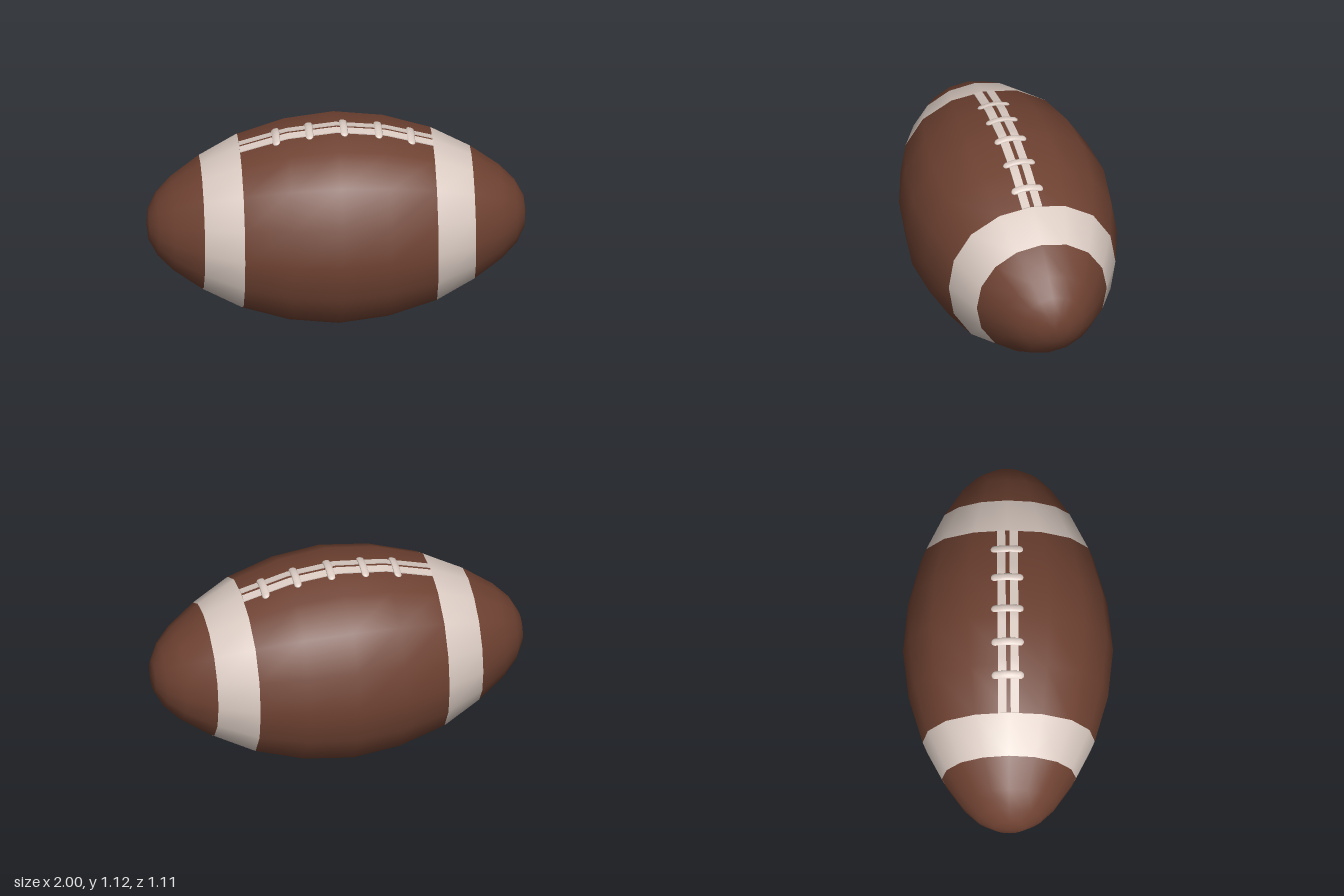
import * as THREE from 'three';

const CY = 0.555; // height of the long axis
const SIDES = 16;
// half profile: [x, radius, squareness at the diagonals]
const HALF = [[0, 0.553, 0.035], [0.26, 0.525, 0.035], [0.51, 0.453, 0.035], [0.715, 0.353, 0.015],
  [0.865, 0.25, 0.01], [0.945, 0.17, 0], [0.99, 0.085, 0], [1, 0, 0]];
const RINGS = [...HALF.slice(1).reverse().map(([x, r, s]) => [-x, r, s]), ...HALF];

const brown = new THREE.MeshStandardMaterial({ color: 0x6f4232, roughness: 0.8 });
const white = new THREE.MeshStandardMaterial({ color: 0xdccdc4, roughness: 0.8 });

// Shared vertices and smooth normals of the whole ball
function ballSurface() {
  const pos = [], index = [];
  for (const [x, r, s] of RINGS) {
    for (let j = 0; j < SIDES; j++) {
      const a = (j / SIDES) * Math.PI * 2;
      const k = r * (1 + s * Math.sin(2 * a) ** 2);
      pos.push(x, CY + k * Math.cos(a), k * Math.sin(a));
    }
  }
  for (let i = 0; i < RINGS.length - 1; i++) index.push(...bandIndex(i, i + 1));
  const g = new THREE.BufferGeometry();
  g.setAttribute('position', new THREE.Float32BufferAttribute(pos, 3));
  g.setIndex(index);
  g.computeVertexNormals();
  // the tips point straight along the axis
  for (let j = 0; j < SIDES; j++) {
    g.attributes.normal.setXYZ(j, -1, 0, 0);
    g.attributes.normal.setXYZ((RINGS.length - 1) * SIDES + j, 1, 0, 0);
  }
  return g;
}

// Triangles between two rings
function bandIndex(from, to) {
  const out = [];
  for (let i = from; i < to; i++) {
    for (let j = 0; j < SIDES; j++) {
      const a = i * SIDES + j, b = i * SIDES + (j + 1) % SIDES;
      const c = a + SIDES, d = b + SIDES;
      if (RINGS[i][1] > 0) out.push(a, b, c);
      if (RINGS[i + 1][1] > 0) out.push(b, d, c);
    }
  }
  return out;
}

// Height of the ridge along the top of the ball
function ridge(x) {
  const ax = Math.abs(x);
  const i = HALF.findIndex((p) => p[0] >= ax);
  if (i <= 0) return CY + HALF[0][1];
  const [x0, r0] = HALF[i - 1], [x1, r1] = HALF[i];
  return CY + r0 + ((r1 - r0) * (ax - x0)) / (x1 - x0);
}

// Lays a flat geometry over the ridge
function drape(g, drop) {
  const p = g.attributes.position;
  for (let i = 0; i < p.count; i++) {
    p.setY(i, p.getY(i) + ridge(p.getX(i)) - drop(Math.abs(p.getZ(i))));
  }
  g.computeVertexNormals();
  return g;
}

export function createModel() {
  const model = new THREE.Group();
  model.name = 'football';
  const add = (name, geometry, material) => {
    const mesh = new THREE.Mesh(geometry, material);
    mesh.name = name;
    model.add(mesh);
  };

  // Leather sections and painted stripes, cut from one smooth surface
  const surface = ballSurface();
  const sections = [['rightTip', 0, 4, brown], ['rightStripe', 4, 5, white], ['body', 5, 9, brown],
    ['leftStripe', 9, 10, white], ['leftTip', 10, 14, brown]];
  for (const [name, from, to, material] of sections) {
    // ring 4 is x = -0.715, ring 5 is x = -0.51
    const g = new THREE.BufferGeometry();
    g.setAttribute('position', surface.attributes.position);
    g.setAttribute('normal', surface.attributes.normal);
    g.setIndex(bandIndex(from, to));
    add(name, g, material);
  }

  // Two long lace strips
  for (const side of [-1, 1]) {
    const g = new THREE.BoxGeometry(1.02, 0.016, 0.044, 32, 1, 1);
    g.translate(0, -0.002, side * 0.033);
    add(side > 0 ? 'frontLaceStrip' : 'backLaceStrip', drape(g, (z) => z * 0.17), white);
  }

  // Cross laces, rounded and bent over the strips
  for (const x of [-0.318, -0.143, 0.04, 0.222, 0.395]) {
    const g = new THREE.CapsuleGeometry(0.02, 0.132, 4, 10, 6);
    g.rotateX(Math.PI / 2);
    g.scale(1, 0.45, 1);
    g.translate(x, 0.005, -0.003);
    add('crossLace', drape(g, (z) => Math.max(0, z - 0.025) * 0.26), white);
  }
  return model;
}
